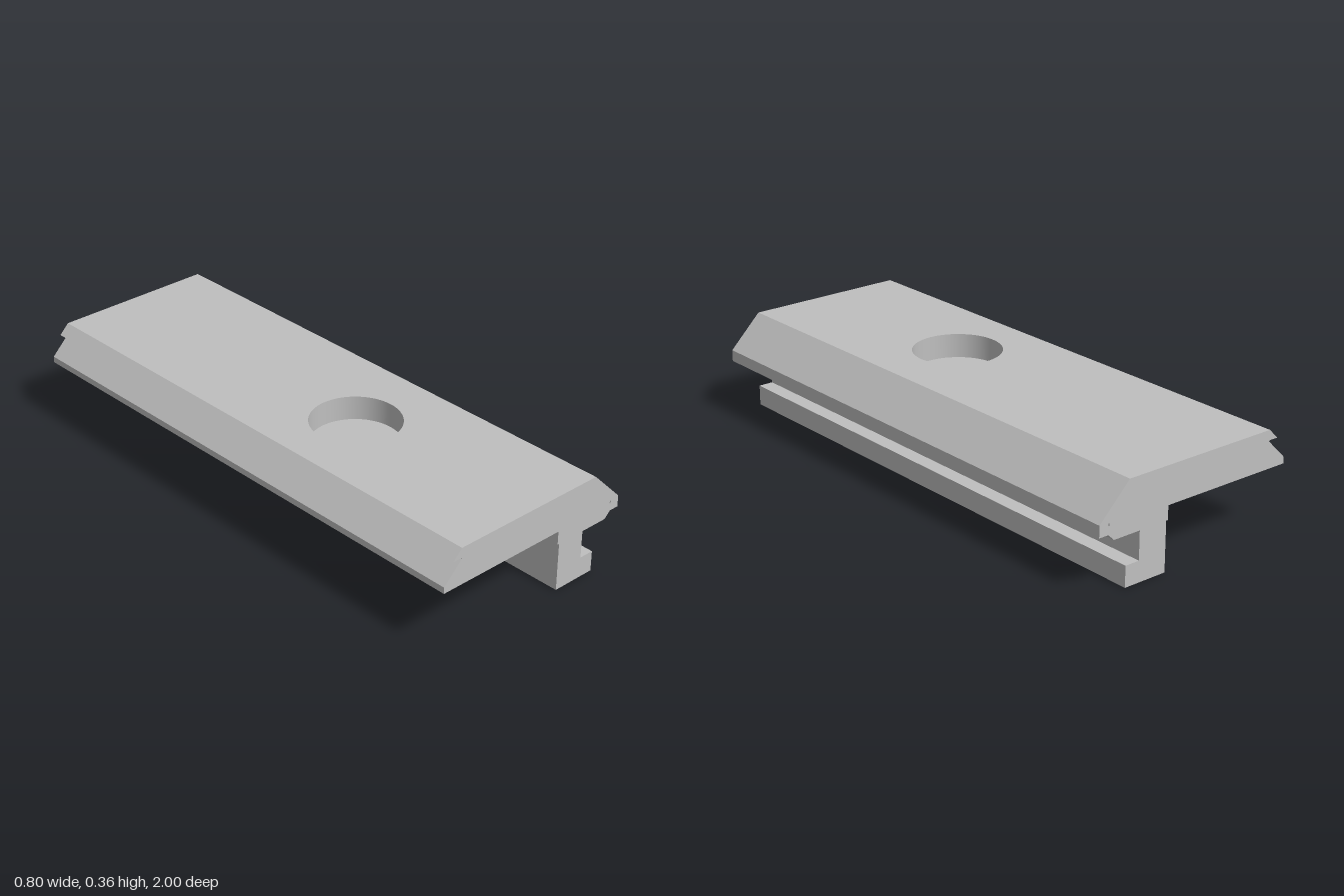
import * as THREE from 'three';

const TOP = 0.362, HALF = 1;
const vec = (a) => a.map(([x, y]) => new THREE.Vector2(x, y));

// Cross-section of the rail, counter-clockwise seen from the front
const profile = vec([
  [-0.329, TOP], [-0.365, 0.326], [-0.328, 0.326], [-0.328, 0.322], [-0.401, 0.25],
  [-0.401, 0.227], [0.114, 0.227], [0.114, 0.177], [0.121, 0.177], [0.121, 0],
  [0.289, 0], [0.289, 0.075], [0.233, 0.075], [0.233, 0.177], [0.34, 0.177],
  [0.364, 0.2], [0.401, 0.2], [0.401, 0.242], [0.28, TOP],
]);
// Tiny bore running the whole length, clockwise
const bore = vec([[0.363, 0.226], [0.36, 0.229], [0.36, 0.236], [0.363, 0.239], [0.365, 0.236], [0.365, 0.229]]);

// Flat strips joining a cross-section from back to front
function walls(points, closed) {
  const pos = [];
  const n = closed ? points.length : points.length - 1;
  for (let i = 0; i < n; i++) {
    const a = points[i], b = points[(i + 1) % points.length];
    pos.push(a.x, a.y, HALF, a.x, a.y, -HALF, b.x, b.y, -HALF);
    pos.push(a.x, a.y, HALF, b.x, b.y, -HALF, b.x, b.y, HALF);
  }
  const g = new THREE.BufferGeometry();
  g.setAttribute('position', new THREE.Float32BufferAttribute(pos, 3));
  g.computeVertexNormals();
  return g;
}

export function createModel() {
  const group = new THREE.Group();
  const grey = new THREE.MeshStandardMaterial({ color: 0xbfbfbf });
  grey.name = 'grey metal';
  grey.side = THREE.DoubleSide;
  const add = (name, geometry) => {
    const mesh = new THREE.Mesh(geometry, grey);
    mesh.name = name;
    group.add(mesh);
    return mesh;
  };

  // Long sides and underside; the open end of the profile is the top
  add('railSides', walls(profile, false));
  add('boreWall', walls(bore, true));

  // End faces
  const section = new THREE.Shape(profile);
  section.holes.push(new THREE.Path(bore));
  add('frontEnd', new THREE.ShapeGeometry(section).translate(0, 0, HALF));
  const back = new THREE.ShapeGeometry(section).translate(0, 0, -HALF);
  const idx = back.index.array;
  for (let i = 0; i < idx.length; i += 3) [idx[i], idx[i + 1]] = [idx[i + 1], idx[i]];
  back.computeVertexNormals();
  add('backEnd', back);

  // Top face with the round recess cut out
  const cx = -0.037, cz = 0.22, r = 0.16, depth = 0.088;
  const top = new THREE.Shape(vec([[-0.329, -HALF], [0.28, -HALF], [0.28, HALF], [-0.329, HALF]]));
  top.holes.push(new THREE.Path().absarc(cx, -cz, r, 0, Math.PI * 2, true));
  add('topFace', new THREE.ShapeGeometry(top, 32).rotateX(-Math.PI / 2).translate(0, TOP, 0));

  // Recess wall, turned to face inward, and its floor
  const wall = new THREE.CylinderGeometry(r, r, depth, 64, 1, true);
  wall.scale(-1, 1, 1);
  const n = wall.attributes.normal;
  for (let i = 0; i < n.count; i++) n.setXYZ(i, -n.getX(i), n.getY(i), -n.getZ(i));
  add('recessWall', wall.translate(cx, TOP - depth / 2, cz));
  add('recessFloor', new THREE.CircleGeometry(r, 64).rotateX(-Math.PI / 2).translate(cx, TOP - depth, cz));

  return group;
}
